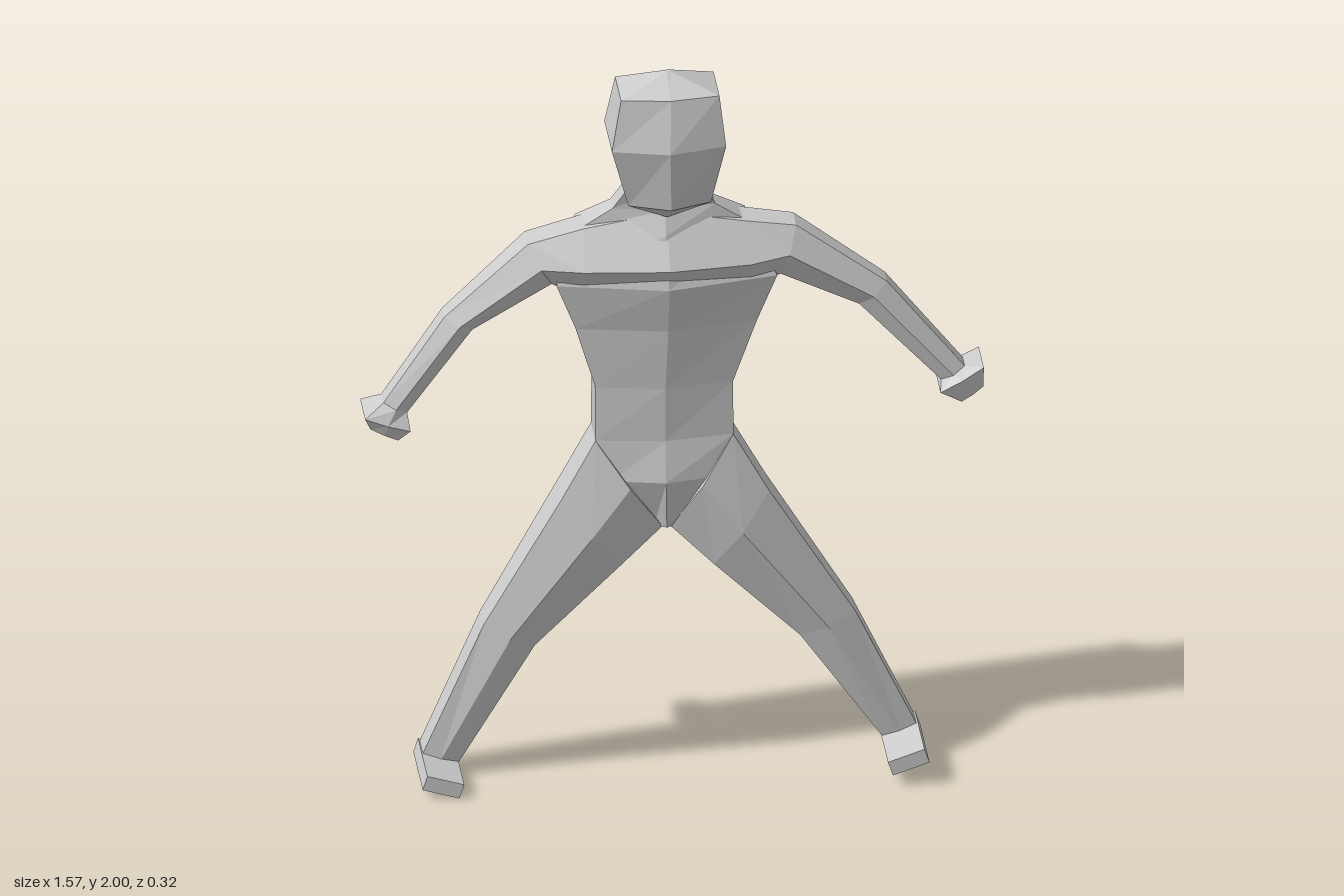
import * as THREE from 'three';

const material = new THREE.MeshStandardMaterial({ color: 0xcccccc, flatShading: true });

// Six-sided section from edge point a to edge point b, with a ridge in front and behind.
// k: how wide the edges are in depth, t: where the ridge lies between a and b
function section([ax, ay, bx, by, zf, zb, k = 0.5, t = 0.5]) {
  const zm = (zf + zb) / 2, h = (k * (zf - zb)) / 2;
  const mx = ax + (bx - ax) * t, my = ay + (by - ay) * t;
  return [
    [ax, ay, zm + h], [mx, my, zf], [bx, by, zm + h],
    [bx, by, zm - h], [mx, my, zb], [ax, ay, zm - h],
  ].map((p) => new THREE.Vector3(...p));
}

// Closed, faceted skin over a row of sections
function loft(name, rows) {
  const rings = rows.map(section);
  const n = rings[0].length;
  const tris = [];
  const centre = (ring) => ring.reduce((s, p) => s.add(p), new THREE.Vector3()).divideScalar(n);
  const last = rings[rings.length - 1];
  const c0 = centre(rings[0]), c1 = centre(last);
  for (let j = 0; j < n; j++) {
    const k = (j + 1) % n;
    tris.push([c0, rings[0][k], rings[0][j]], [c1, last[j], last[k]]);
    for (let i = 0; i + 1 < rings.length; i++) {
      const p = rings[i], q = rings[i + 1];
      tris.push([p[j], p[k], q[k]], [p[j], q[k], q[j]]);
    }
  }
  // Turn all faces outward
  const volume = tris.reduce((s, [a, b, c]) => s + a.dot(b.clone().cross(c)), 0);
  if (volume < 0) tris.forEach((t) => t.reverse());
  const geometry = new THREE.BufferGeometry().setFromPoints(tris.flat());
  geometry.computeVertexNormals();
  const mesh = new THREE.Mesh(geometry, material);
  mesh.name = name;
  return mesh;
}

// Level section for head and torso
const level = (y, x0, x1, zf, zb, k) => [x0, y, x1, y, zf, zb, k];

function foot(name, x, y, z, tilt) {
  const mesh = new THREE.Mesh(new THREE.BoxGeometry(0.098, 0.04, 0.215), material);
  mesh.position.set(x, y, z);
  mesh.rotation.z = tilt;
  mesh.name = name;
  return mesh;
}

export function createModel() {
  const model = new THREE.Group();
  model.name = 'figure';

  model.add(loft('head', [
    level(1.59, -0.03, -0.01, 0.05, 0.03),
    level(1.65, -0.125, 0.085, 0.135, -0.04, 0.55),
    level(1.82, -0.17, 0.12, 0.16, -0.085, 0.72),
    level(1.955, -0.145, 0.105, 0.125, -0.045, 0.8),
    level(2.0, -0.025, -0.015, 0.045, 0.035),
  ]));

  // Crotch up to the neck
  model.add(loft('torso', [
    level(0.70, -0.05, 0.01, 0.03, -0.1, 0.7),
    level(0.84, -0.16, 0.11, 0.06, -0.12, 0.7),
    level(0.95, -0.2, 0.15, 0.04, -0.11, 0.7),
    level(1.10, -0.2, 0.15, 0.045, -0.1, 0.6),
    level(1.27, -0.25, 0.21, 0.06, -0.12, 0.55),
    level(1.40, -0.3, 0.26, 0.09, -0.14, 0.5),
    level(1.54, -0.24, 0.19, 0.06, -0.155, 0.4),
    level(1.60, -0.155, 0.105, 0.035, -0.075, 0.5),
    level(1.67, -0.115, 0.075, 0.04, -0.035, 0.7),
  ]));

  // One skin from the right hand across the shoulders to the left hand
  model.add(loft('shouldersArmsAndHands', [
    [-0.77, 1.01, -0.70, 0.975, 0.015, -0.085, 0.9],
    [-0.785, 1.045, -0.67, 1.005, 0.03, -0.1, 0.9],
    [-0.735, 1.075, -0.675, 1.045, 0.01, -0.075, 0.6],
    [-0.58, 1.31, -0.51, 1.27, 0.02, -0.085],
    [-0.37, 1.51, -0.31, 1.395, 0.045, -0.105],
    [-0.23, 1.55, -0.24, 1.36, 0.075, -0.125, 0.4],
    [-0.02, 1.59, -0.02, 1.33, 0.105, -0.165, 0.4],
    [0.18, 1.55, 0.20, 1.36, 0.075, -0.125, 0.4],
    [0.31, 1.53, 0.27, 1.395, 0.05, -0.095],
    [0.54, 1.36, 0.47, 1.30, 0.045, -0.065],
    [0.735, 1.12, 0.675, 1.085, 0.055, -0.03, 0.6],
    [0.78, 1.13, 0.67, 1.065, 0.08, -0.05, 0.9],
    [0.78, 1.07, 0.725, 1.03, 0.065, -0.035, 0.9],
  ]));

  // Legs, hip to ankle
  model.add(loft('rightLeg', [
    [-0.2, 0.95, -0.03, 0.70, 0.055, -0.12, 0.6],
    [-0.285, 0.79, -0.14, 0.59, 0.055, -0.125, 0.6],
    [-0.48, 0.43, -0.35, 0.365, 0.015, -0.12, 0.6],
    [-0.635, 0.06, -0.545, 0.03, -0.02, -0.11, 0.8],
  ]));
  model.add(loft('leftLeg', [
    [0.15, 0.95, -0.01, 0.70, 0.055, -0.12, 0.6],
    [0.24, 0.79, 0.10, 0.59, 0.065, -0.11, 0.6],
    [0.46, 0.43, 0.32, 0.37, 0.04, -0.085, 0.6],
    [0.62, 0.09, 0.535, 0.06, 0.015, -0.06, 0.8],
  ]));

  model.add(foot('rightFoot', -0.595, 0.033, -0.005, -0.3));
  model.add(foot('leftFoot', 0.58, 0.066, 0.05, 0.33));
  return model;
}
